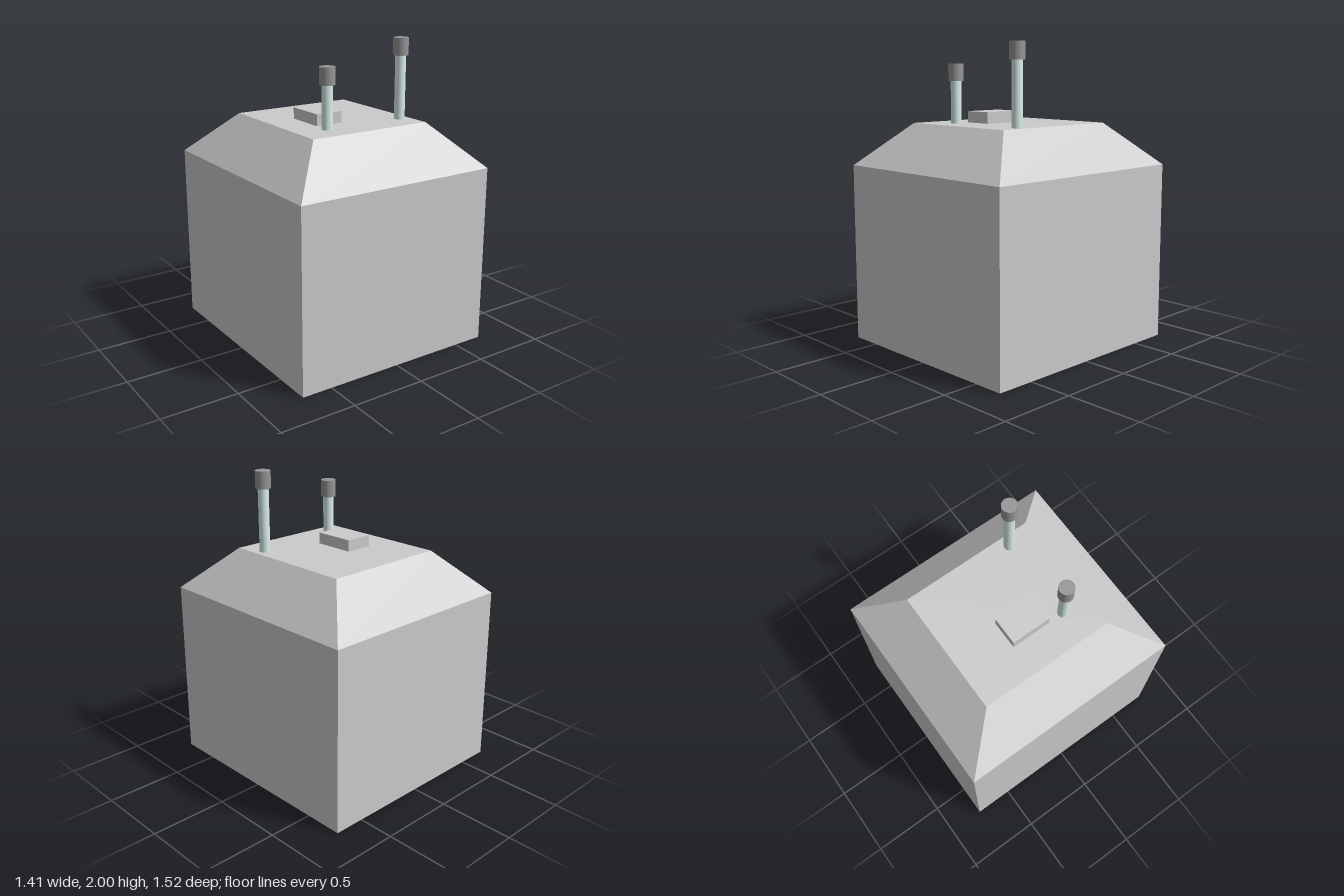
import * as THREE from 'three';

const grey = new THREE.MeshStandardMaterial({ color: 0xcccccc, flatShading: true });
const pipeMaterial = new THREE.MeshStandardMaterial({ color: 0xdcf0ec });
const capMaterial = new THREE.MeshStandardMaterial({ color: 0x969696 });

const ROOF_Y = 1.473;

function addMesh(parent, name, geometry, material, x, y, z) {
  const mesh = new THREE.Mesh(geometry, material);
  mesh.name = name;
  mesh.position.set(x, y, z);
  parent.add(mesh);
  return mesh;
}

// Tank: a box with its upper row of vertices drawn in to form the sloped shoulders
function tankGeometry() {
  const eaves = 1.192;
  const geometry = new THREE.BoxGeometry(1.41, ROOF_Y, 1.516, 1, 2, 1);
  geometry.translate(0, ROOF_Y / 2, 0);
  const p = geometry.attributes.position;
  for (let i = 0; i < p.count; i++) {
    const y = p.getY(i);
    if (y > ROOF_Y - 0.01) {
      p.setX(i, Math.sign(p.getX(i)) * 0.428);
      p.setZ(i, Math.sign(p.getZ(i)) * 0.459);
    } else if (y > 0.01) {
      p.setY(i, eaves);
    }
  }
  geometry.computeVertexNormals();
  return geometry;
}

// Vent: a thin pipe with a wider cap on top
function makeVent(name, x, z, top) {
  const capHeight = 0.112;
  const pipeHeight = top - capHeight - ROOF_Y;
  const vent = new THREE.Group();
  vent.name = name;
  vent.position.set(x, ROOF_Y, z);
  addMesh(vent, 'ventPipe', new THREE.CylinderGeometry(0.035, 0.035, pipeHeight, 32),
    pipeMaterial, 0, pipeHeight / 2, 0);
  addMesh(vent, 'ventCap', new THREE.CylinderGeometry(0.05, 0.05, capHeight, 32),
    capMaterial, 0, pipeHeight + capHeight / 2, 0);
  return vent;
}

export function createModel() {
  const model = new THREE.Group();
  model.name = 'tank';

  addMesh(model, 'tankBody', tankGeometry(), grey, 0, 0, 0);

  // Access hatch on the flat top
  const hatchHeight = 0.075;
  addMesh(model, 'accessHatch', new THREE.BoxGeometry(0.19, hatchHeight, 0.275), grey,
    -0.12, ROOF_Y + hatchHeight / 2, 0.033);

  model.add(makeVent('shortVent', -0.209, 0.278, 1.862));
  model.add(makeVent('tallVent', 0.358, 0.278, 2));
  return model;
}
